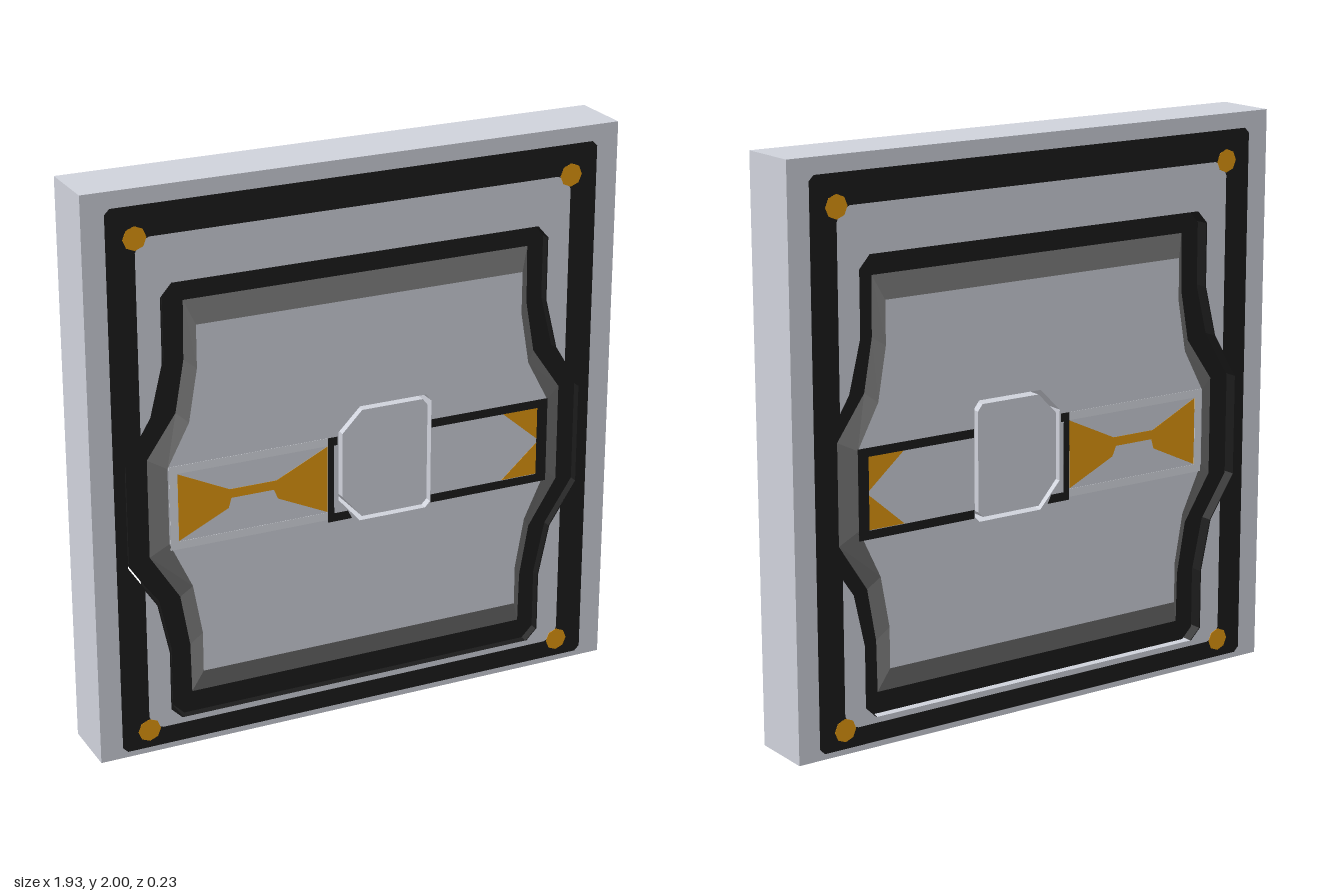
import * as THREE from 'three';

const mat = (name, color) => {
  const m = new THREE.MeshStandardMaterial({ color });
  m.name = name;
  return m;
};

const W = 1.935, H = 2, FACE = 0.114, FLOOR = 0.085;

// Right half of each outline, from bottom to top
const frameHalf = [[0.665, 0.105], [0.705, 0.145], [0.705, 0.36], [0.745, 0.545], [0.848, 0.7],
  [0.848, 1.06], [0.75, 1.22], [0.705, 1.4], [0.705, 1.625], [0.665, 1.67]];
const bevelHalf = [[0.632, 0.18], [0.635, 0.36], [0.667, 0.545], [0.772, 0.71],
  [0.772, 1.06], [0.667, 1.21], [0.635, 1.39], [0.632, 1.595]];
const plateauHalf = [[0.6, 0.265], [0.6, 0.41], [0.632, 0.59], [0.712, 0.76],
  [0.712, 1.03], [0.632, 1.18], [0.6, 1.365], [0.6, 1.515]];
// Inner edge of the border, bulging around the inner frame
const borderHalf = [[0.74, 0.085], [0.775, 0.1], [0.79, 0.135], [0.79, 0.612], [0.848, 0.7],
  [0.848, 1.06], [0.79, 1.155], [0.79, 1.785], [0.775, 1.82], [0.74, 1.835]];
const borderOuterHalf = [[0.87, 0.02], [0.888, 0.038], [0.888, 1.925], [0.87, 1.943]];
const hatchHole = [[0, 0.71], [0.25, 0.71], [0.27, 0.73], [0.27, 1.105], [0.25, 1.13],
  [0, 1.13], [-0.08, 1.05], [-0.08, 0.8]];

const mirror = (half, cx = 0) => [...half.map(([x, y]) => [cx + x, y]),
  ...half.map(([x, y]) => [cx - x, y]).reverse()];
const rect = (x0, y0, x1, y1) => [[x0, y0], [x1, y0], [x1, y1], [x0, y1]];

export function createModel() {
  const panel = mat('panel grey', 0xcfd2db);
  const pale = mat('pale grey', 0xdadde4);
  const black = mat('frame black', 0x1b1b1b);
  const bevelGrey = mat('bevel grey', 0x6c6c6c);
  const amber = mat('amber', 0xe1970e);

  const model = new THREE.Group();
  model.name = 'doorPanel';

  const plate = (parent, name, material, pts, z0, z1, holes = [], side = 1) => {
    const vec = (list) => list.map(([x, y]) => new THREE.Vector2(x * side, y));
    const shape = new THREE.Shape(vec(pts));
    holes.forEach((h) => shape.holes.push(new THREE.Path(vec(h))));
    const geo = new THREE.ExtrudeGeometry(shape, { depth: z1 - z0, bevelEnabled: false });
    geo.translate(0, 0, z0);
    const mesh = new THREE.Mesh(geo, material);
    mesh.name = name;
    parent.add(mesh);
  };
  // Part running through the whole thickness
  const through = (name, material, pts, half, holes) =>
    plate(model, name, material, pts, -half, half, holes);

  const frame = mirror(frameHalf);
  const liner = frame.map(([x, y]) => [x + Math.sign(x) * 0.004, y]);
  const bevel = mirror(bevelHalf, 0.0125);
  const plateau = mirror(plateauHalf, 0.0125);

  // Surround, and the sunken black frame with an open slot along one side
  through('surround', panel, rect(-W / 2, 0, W / 2, H), FACE, [liner]);
  through('frameLiner', black, liner, FACE, [frame]);
  through('innerFrame', black, frame.map(([x, y]) => [x < 0 ? x + 0.014 : x, y]), FLOOR, [plateau]);

  // Plateau with the central hatch floating in an open slot
  const cx = 0.095, cy = 0.92;
  through('plateau', panel, plateau, FACE, [hatchHole]);
  through('hatch', panel,
    hatchHole.map(([x, y]) => [cx + (x - cx) * 0.915, cy + (y - cy) * 0.93]), FACE);

  // Both faces carry the same markings; side -1 mirrors x and turns round
  const buildFace = (side) => {
    const g = new THREE.Group();
    g.name = side > 0 ? 'frontFace' : 'backFace';
    if (side < 0) g.rotation.y = Math.PI;
    const paint = (name, material, pts, holes) =>
      plate(g, name, material, pts, FACE - 0.002, FACE + 0.001, holes, side);

    paint('border', black, mirror(borderOuterHalf), [mirror(borderHalf)]);

    // Sloped rim rising to the plateau
    const order = (pts) => {
      const list = pts.map(([x, y]) => [x * side, y]);
      return side > 0 ? list : list.reverse();
    };
    const outer = order(bevel), inner = order(plateau), pos = [];
    outer.forEach((a, i) => {
      const j = (i + 1) % outer.length;
      pos.push(...a, FLOOR, ...outer[j], FLOOR, ...inner[j], FACE);
      pos.push(...a, FLOOR, ...inner[j], FACE, ...inner[i], FACE);
    });
    const rimGeo = new THREE.BufferGeometry();
    rimGeo.setAttribute('position', new THREE.Float32BufferAttribute(pos, 3));
    rimGeo.computeVertexNormals();
    const rim = new THREE.Mesh(rimGeo, bevelGrey);
    rim.name = 'slopedRim';
    g.add(rim);

    // Pale rail around the bow tie
    paint('paleRail', pale, [[-0.122, 0.735], [-0.122, 0.763], [-0.667, 0.763], [-0.667, 1.007],
      [-0.122, 1.007], [-0.122, 1.035], [-0.695, 1.035], [-0.695, 0.735]]);

    // Black bracket either side of the hatch
    paint('leftBracket', black, [[-0.12, 0.725], [-0.03, 0.725], [-0.045, 0.755], [-0.097, 0.755],
      [-0.097, 1.005], [-0.085, 1.005], [-0.085, 1.035], [-0.12, 1.035]]);
    paint('rightBracket', black, [[0.272, 0.725], [0.725, 0.725], [0.725, 1.035], [0.272, 1.035],
      [0.272, 1.005], [0.685, 1.005], [0.685, 0.755], [0.272, 0.755]]);

    // Amber markings
    paint('bowTie', amber, [[-0.665, 0.765], [-0.485, 0.85], [-0.475, 0.885], [-0.32, 0.885],
      [-0.305, 0.85], [-0.122, 0.765], [-0.122, 1.005], [-0.31, 0.917], [-0.48, 0.917],
      [-0.665, 1.005]]);
    paint('upperWedge', amber, [[0.55, 1.005], [0.685, 0.89], [0.685, 1.005]]);
    paint('lowerWedge', amber, [[0.55, 0.757], [0.685, 0.757], [0.685, 0.875]]);

    // Corner studs
    for (const x of [-0.79, 0.79]) {
      for (const y of [0.085, 1.835]) {
        const stud = new THREE.Mesh(new THREE.CylinderGeometry(0.041, 0.041, 0.003, 8), amber);
        stud.name = 'cornerStud';
        stud.rotation.x = Math.PI / 2;
        stud.position.set(x * side, y, FACE + 0.0003);
        g.add(stud);
      }
    }
    return g;
  };

  model.add(buildFace(1), buildFace(-1));
  return model;
}
